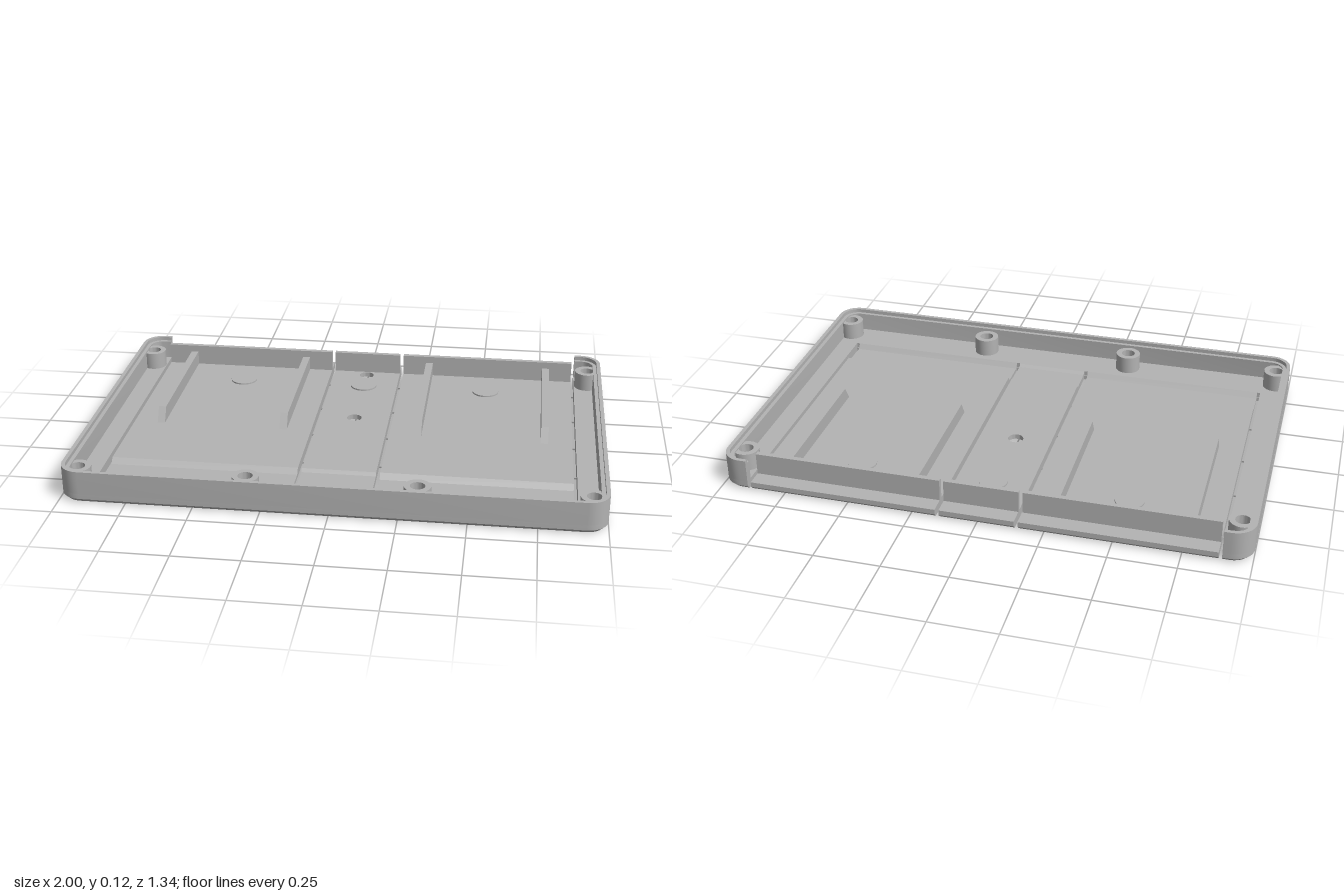
import * as THREE from 'three';
import { toCreasedNormals } from 'three/addons/utils/BufferGeometryUtils.js';

const W = 1, D = 0.67, R = 0.08;               // half width, half depth, corner radius
const BASE = 0.015, FLOOR = 0.035, TOP = 0.125; // heights of the layers
const SLIT = [[0.142, 0.157], [0.88, 0.893]];   // slits beside the flaps
const HINGE = 0.495;                            // z where the slits end

const grey = new THREE.MeshStandardMaterial({ color: 0xb3b3b3 });
grey.name = 'grey plastic';

// Rounded outline, open at the back, inset by i (shape y is -z)
function openLoop(i) {
  const pts = [[SLIT[1][1], D - i]];
  const corners = [[1, 1, 90], [1, -1, 0], [-1, -1, -90], [-1, 1, -180]];
  for (const [sx, sy, start] of corners) {
    for (let k = 0; k <= 8; k++) {
      const a = THREE.MathUtils.degToRad(start - k * 11.25);
      pts.push([sx * (W - R) + Math.cos(a) * (R - i), sy * (D - R) + Math.sin(a) * (R - i)]);
    }
  }
  pts.push([-SLIT[1][1], D - i]);
  return pts;
}

const toShape = (pts) => new THREE.Shape(pts.map(([x, y]) => new THREE.Vector2(x, y)));

// Plan outline raised from y0 to y1
function slab(pts, y0, y1, holes = []) {
  const shape = toShape(pts);
  for (const [x, z, r] of holes) shape.holes.push(new THREE.Path().absarc(x, -z, r, 0, Math.PI * 2, true));
  const g = new THREE.ExtrudeGeometry(shape, { depth: y1 - y0, bevelEnabled: false, curveSegments: 24 });
  return g.rotateX(-Math.PI / 2).translate(0, y0, 0);
}

// Side profile of [z, y] points stretched from x0 to x1
function prismX(profile, x0, x1) {
  const shape = toShape(profile.map(([z, y]) => [-z, y]));
  const g = new THREE.ExtrudeGeometry(shape, { depth: x1 - x0, bevelEnabled: false });
  return g.rotateY(Math.PI / 2).translate(x0, 0, 0);
}

// Pull the lowest outer vertices inwards to make the bottom chamfer
function chamferBottom(g, size) {
  const p = g.attributes.position;
  for (let i = 0; i < p.count; i++) {
    if (p.getY(i) > 0.001) continue;
    const x = p.getX(i), z = p.getZ(i);
    const cx = THREE.MathUtils.clamp(x, R - W, W - R), cz = THREE.MathUtils.clamp(z, R - D, D - R);
    if (Math.hypot(x - cx, z - cz) < R - 0.001) continue;
    const k = 1 - size / R;
    p.setXYZ(i, cx + (x - cx) * k, 0, cz + (z - cz) * k);
  }
  return g;
}

export function createModel() {
  const model = new THREE.Group();
  model.name = 'tray';
  const add = (name, g) => {
    const mesh = new THREE.Mesh(toCreasedNormals(g, 0.5), grey);
    mesh.name = name;
    model.add(mesh);
  };
  const [[a0, a1], [b0, b1]] = SLIT;
  const screwHoles = [[0, -0.55, 0.03], [0, -0.11, 0.03]];

  // Bottom plate with four slits open to the back
  const plate = openLoop(0);
  plate.push([-b1, -HINGE], [-b0, -HINGE], [-b0, D], [-a1, D], [-a1, -HINGE], [-a0, -HINGE], [-a0, D],
    [a0, D], [a0, -HINGE], [a1, -HINGE], [a1, D], [b0, D], [b0, -HINGE], [b1, -HINGE]);
  add('bottomPlate', chamferBottom(slab(plate, 0, BASE, screwHoles), 0.015));

  // Floor around the flaps
  add('floorFrame', slab([...openLoop(0), [-b1, -0.5], [b1, -0.5]], BASE, FLOOR));

  // Stepped rim: tall outer lip and lower inner ledge
  const rim = (i0, i1) => [...openLoop(i0), ...openLoop(i1).reverse()];
  add('rimLip', slab(rim(0, 0.015), FLOOR, TOP));
  add('rimLedge', slab(rim(0.015, 0.03), FLOOR, 0.11));

  // Centre flap with two holes, and its shallow hinge
  add('centreFlap', slab([[-a0, -0.36], [a0, -0.36], [a0, D], [-a0, D]], BASE, FLOOR, screwHoles));
  add('centreHinge', prismX([[0.36, BASE], [0.36, FLOOR], [0.375, 0.025], [0.485, 0.025],
    [0.497, FLOOR], [0.5, FLOOR], [0.5, BASE]], -a0, a0));
  add('centreBackWall', prismX([[-0.605, FLOOR], [-0.605, 0.12], [-0.585, 0.12], [-0.585, FLOOR]], -a0, a0));

  // Side flaps with sloped hinge edges, back walls and ribs
  for (const s of [-1, 1]) {
    const x0 = s > 0 ? a1 : -b0, x1 = s > 0 ? b0 : -a1;
    add('sideFlap', prismX([[-D, BASE], [-D, FLOOR], [0.36, FLOOR], [0.38, BASE]], x0, x1));
    add('hingeSlope', prismX([[0.485, BASE], [0.5, FLOOR], [0.5, BASE]], x0, x1));
    add('sideBackWall', prismX([[-0.605, FLOOR], [-0.605, 0.12], [-0.585, 0.12], [-0.585, FLOOR]], x0, x1));
    for (const x of [0.27, 0.77]) {
      add('rib', prismX([[-0.59, FLOOR], [-0.59, 0.092], [0, 0.092], [0.035, FLOOR]], s * x - 0.015, s * x + 0.015));
    }
  }

  // Low round pads
  for (const x of [-0.52, 0, 0.52]) {
    add('pad', new THREE.CylinderGeometry(0.055, 0.055, 0.006, 32).translate(x, FLOOR + 0.003, -0.435));
  }

  // Hollow screw bosses
  const bossProfile = [[0.05, FLOOR], [0.05, 0.105], [0.028, 0.105], [0.028, FLOOR]].map(([r, y]) => new THREE.Vector2(r, y));
  for (const s of [-1, 1]) {
    for (const [x, z] of [[0.945, -0.55], [0.945, 0.58], [0.315, 0.58]]) {
      add('screwBoss', new THREE.LatheGeometry(bossProfile, 32).translate(s * x, 0, z));
    }
  }
  return model;
}
